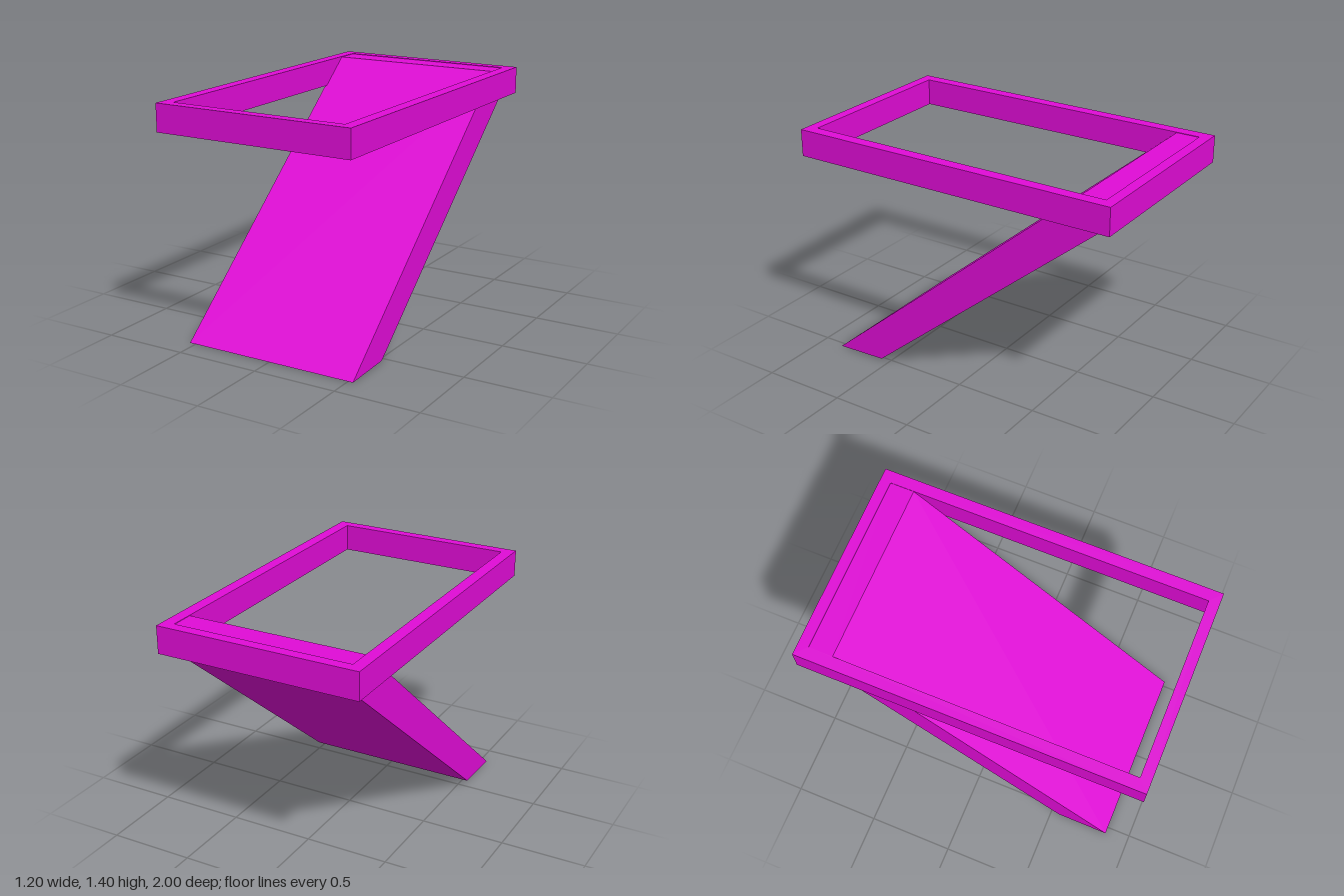
import * as THREE from 'three';

export function createModel() {
  const model = new THREE.Group();
  const magenta = new THREE.MeshStandardMaterial({ color: 0xe00cd6 });
  magenta.name = 'magenta';

  const toShape = (pts) => new THREE.Shape(pts.map(([x, y]) => new THREE.Vector2(x, y)));
  const rectangle = (x, y) => [[-x, -y], [x, -y], [x, y], [-x, y]];
  const addPart = (name, shape, depth) => {
    const geometry = new THREE.ExtrudeGeometry(shape, { depth, bevelEnabled: false });
    const mesh = new THREE.Mesh(geometry, magenta);
    mesh.name = name;
    model.add(mesh);
    return mesh;
  };

  // Open rectangular frame lying flat at the top
  const outline = toShape(rectangle(0.6, 1));
  outline.holes.push(toShape(rectangle(0.53, 0.937)));
  const frame = addPart('topFrame', outline, 0.16);
  frame.rotation.x = -Math.PI / 2;
  frame.position.y = 1.24;

  // Slanted slab: side profile as (-z, y), its top fills the rear of the frame opening
  const profile = toShape([
    [-0.86, 0], [-0.55, 0.01], [0.94, 1.24], [0.94, 1.397], [0.797, 1.397],
  ]);
  const slab = addPart('slantedSupport', profile, 1.07);
  slab.rotation.y = Math.PI / 2;
  slab.position.x = -0.54;

  return model;
}
